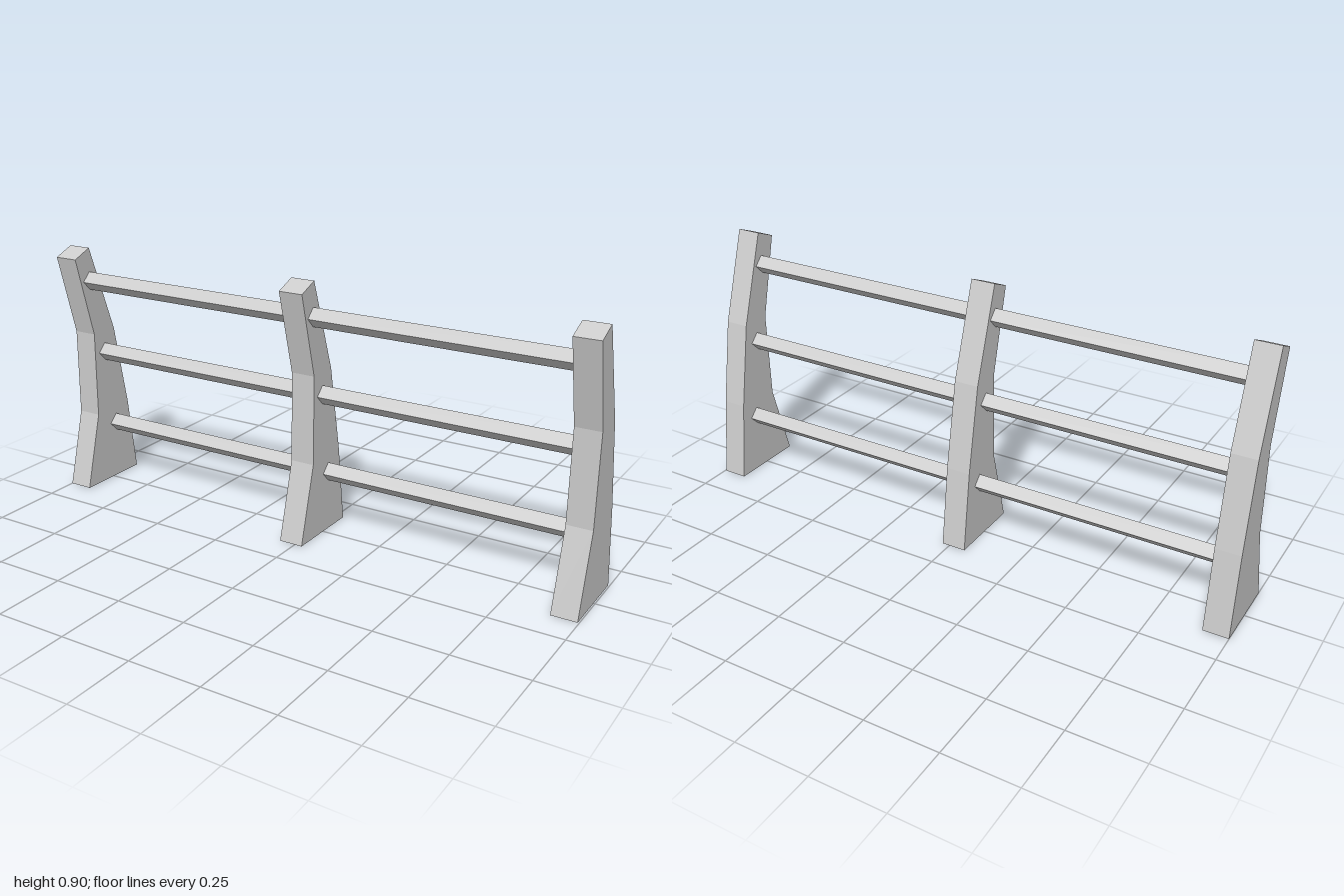
import * as THREE from 'three';

const material = new THREE.MeshStandardMaterial({ color: 0xcccccc, flatShading: true });

// Curved side profile of a post as [z, y]
const POST_PROFILE = [
  [0.138, 0], [0.065, 0.27], [0.062, 0.58], [0.137, 0.87],
  [0.064, 0.9], [-0.045, 0.58], [-0.101, 0.28], [-0.137, 0],
];
const POST_WIDTH = 0.086;
const POST_LEAN = 0.005;

function createPostGeometry() {
  const shape = new THREE.Shape(POST_PROFILE.map(([z, y]) => new THREE.Vector2(z, y)));
  const geometry = new THREE.ExtrudeGeometry(shape, { depth: POST_WIDTH, bevelEnabled: false });
  geometry.rotateY(-Math.PI / 2);
  geometry.translate(POST_WIDTH / 2, 0, 0);
  // Very slight sideways lean
  const pos = geometry.attributes.position;
  for (let i = 0; i < pos.count; i++) {
    pos.setX(i, pos.getX(i) + POST_LEAN * (pos.getY(i) / 0.9 - 0.5));
  }
  geometry.computeVertexNormals();
  return geometry;
}

export function createModel() {
  const group = new THREE.Group();
  group.name = 'fence';

  // Three posts
  const postGeometry = createPostGeometry();
  [['rightPost', -0.9545], ['middlePost', -0.0135], ['leftPost', 0.9545]].forEach(([name, x]) => {
    const post = new THREE.Mesh(postGeometry, material);
    post.name = name;
    post.position.x = x;
    group.add(post);
  });

  // Square rails set on edge, two spans at each of three heights
  const railGeometry = new THREE.BoxGeometry(0.94, 0.046, 0.046);
  railGeometry.rotateX(Math.PI / 4);
  [['lower', 0.214, -0.032], ['middle', 0.503, 0.009], ['upper', 0.782, 0.069]].forEach(([level, y, z]) => {
    [['Right', -0.484], ['Left', 0.4705]].forEach(([side, x]) => {
      const rail = new THREE.Mesh(railGeometry, material);
      rail.name = `${level}Rail${side}`;
      rail.position.set(x, y, z);
      group.add(rail);
    });
  });

  return group;
}
